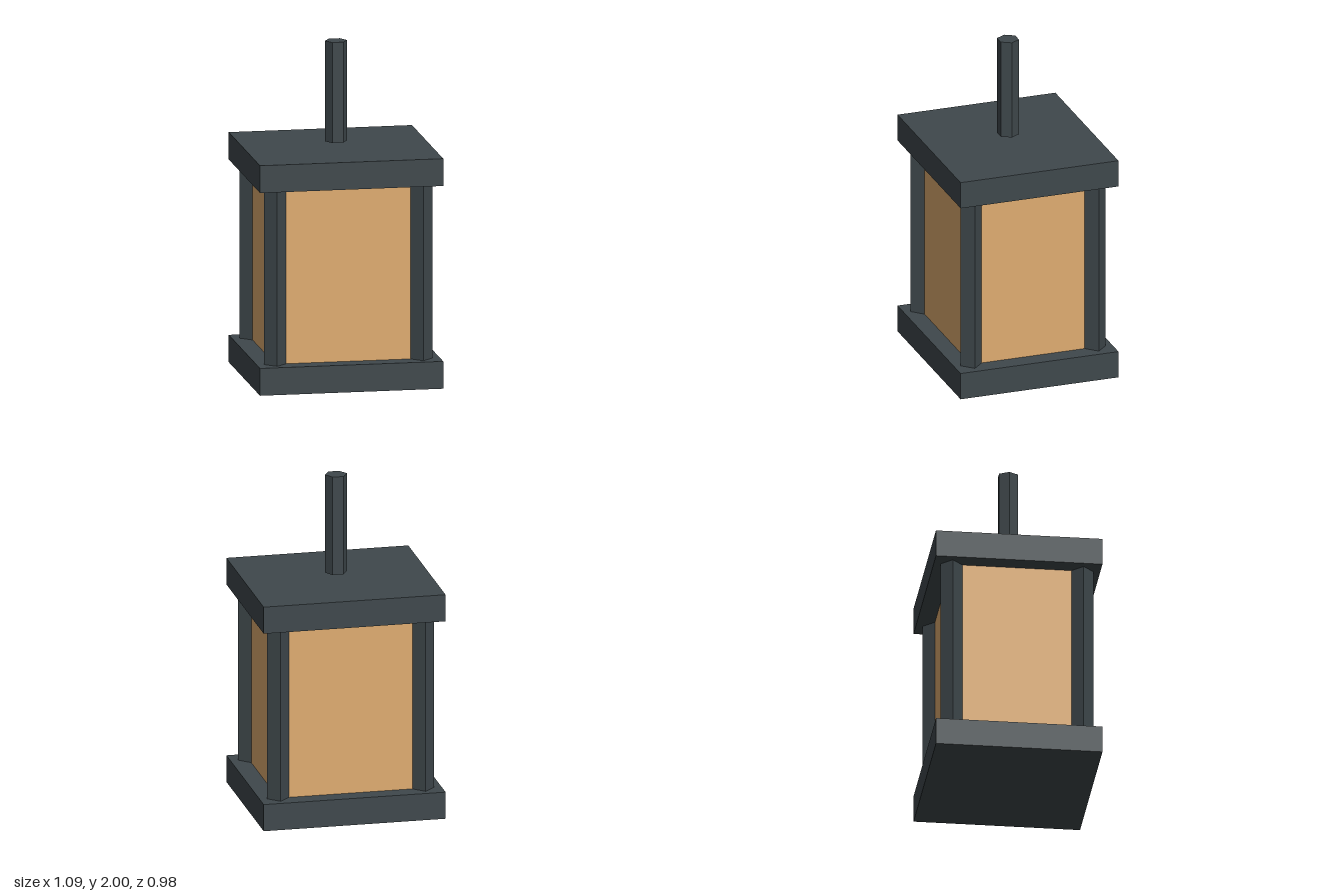
import * as THREE from 'three';

export function createModel() {
  const lantern = new THREE.Group();
  lantern.name = 'lantern';
  const iron = new THREE.MeshStandardMaterial({ color: 0x3f484c, flatShading: true });
  const glow = new THREE.MeshStandardMaterial({ color: 0xdfac70, flatShading: true });

  const add = (name, geometry, material, x, y, z) => {
    const mesh = new THREE.Mesh(geometry, material);
    mesh.name = name;
    mesh.position.set(x, y, z);
    lantern.add(mesh);
  };

  const slabHeight = 0.163;
  const capBottom = 1.21;
  const bodyHeight = capBottom - slabHeight;
  const bodyY = slabHeight + bodyHeight / 2;
  const postX = 0.435, postZ = 0.385;

  // Matching slabs below and above the body
  const slab = new THREE.BoxGeometry(1.09, slabHeight, 0.98);
  add('base', slab, iron, 0, slabHeight / 2, 0);
  add('cap', slab, iron, 0, capBottom + slabHeight / 2, 0);

  // Glowing body, its corners on the post centres
  add('glassBody', new THREE.BoxGeometry(postX * 2, bodyHeight, postZ * 2), glow, 0, bodyY, 0);

  // Four diamond-section corner posts
  const post = new THREE.CylinderGeometry(0.065, 0.065, bodyHeight, 4);
  for (const sx of [-1, 1]) {
    for (const sz of [-1, 1]) {
      const name = (sz > 0 ? 'front' : 'back') + (sx > 0 ? 'Left' : 'Right') + 'Post';
      add(name, post, iron, sx * postX, bodyY, sz * postZ);
    }
  }

  // Hexagonal hanging rod, floating just above the cap, points toward the sides
  const rod = new THREE.CylinderGeometry(0.065, 0.065, 0.6, 6, 1, false, Math.PI / 6);
  add('hangingRod', rod, iron, 0, 1.7, 0);

  return lantern;
}
